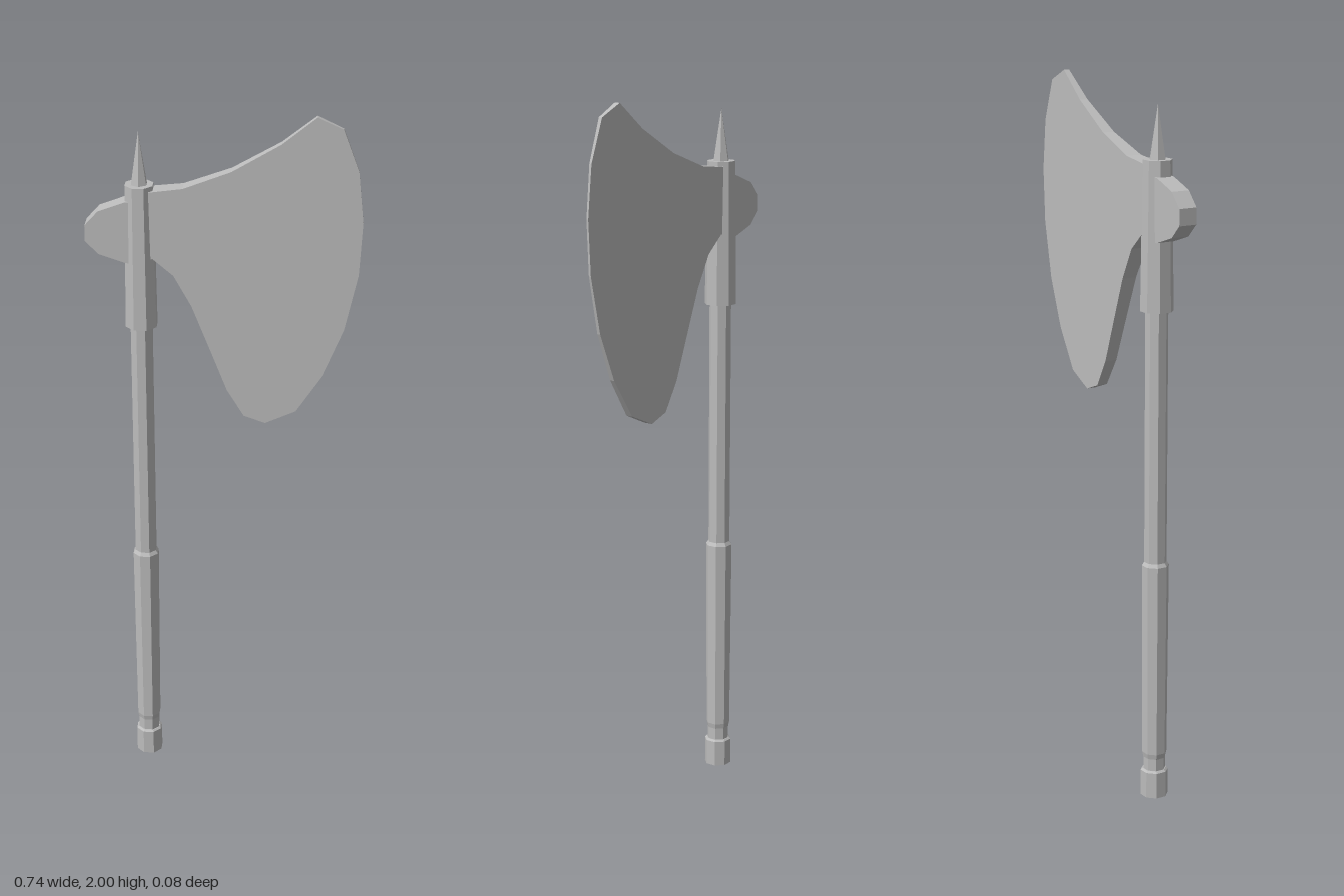
import * as THREE from 'three';

const AXIS_X = -0.225;
const steel = new THREE.MeshStandardMaterial({ color: 0xbcbcbc, flatShading: true });
steel.name = 'plain grey';

// Faceted round part on the shaft axis; profile is [distance to flat side, height]
function turned(name, profile, sides, phase) {
  const k = 1 / Math.cos(Math.PI / sides);
  const pts = profile.map(([r, y]) => new THREE.Vector2(r * k, y));
  const mesh = new THREE.Mesh(new THREE.LatheGeometry(pts, sides, phase), steel);
  mesh.name = name;
  mesh.position.x = AXIS_X;
  return mesh;
}

// Flat outline given thickness; halfDepth(x) sets the half thickness along x
function plate(name, outline, halfDepth) {
  const shape = new THREE.Shape(outline.map(([x, y]) => new THREE.Vector2(x, y)));
  const geo = new THREE.ExtrudeGeometry(shape, { depth: 1, bevelEnabled: false });
  const pos = geo.attributes.position;
  for (let i = 0; i < pos.count; i++) {
    pos.setZ(i, (pos.getZ(i) > 0.5 ? 1 : -1) * halfDepth(pos.getX(i)));
  }
  geo.computeVertexNormals();
  const mesh = new THREE.Mesh(geo, steel);
  mesh.name = name;
  return mesh;
}

export function createModel() {
  const axe = new THREE.Group();
  axe.name = 'battleAxe';
  const eighth = Math.PI / 8;

  // Handle, from the butt upwards
  axe.add(turned('pommel', [[0, 0], [0.036, 0], [0.036, 0.075], [0.031, 0.08], [0, 0.08]], 8, eighth));
  axe.add(turned('shaft', [[0.029, 0.07], [0.029, 1.42]], 8, eighth));
  axe.add(turned('grip', [[0.029, 0.115], [0.032, 0.13], [0.035, 0.685], [0.029, 0.695]], 8, eighth));

  // Head socket and top spike
  axe.add(turned('socket', [[0.028, 1.4], [0.042, 1.4], [0.037, 1.805], [0, 1.805]], 8, eighth));
  axe.add(turned('spike', [[0.021, 1.8], [0, 1.95]], 6, 0));

  // Bearded blade, tapering to the cutting edge
  axe.add(plate('blade', [
    [-0.21, 1.6], [-0.19, 1.603], [-0.135, 1.555], [-0.087, 1.466], [-0.034, 1.328],
    [0.008, 1.217], [0.055, 1.138], [0.114, 1.116], [0.198, 1.153], [0.272, 1.265],
    [0.327, 1.4], [0.362, 1.56], [0.37, 1.71], [0.355, 1.852], [0.312, 1.968],
    [0.242, 2.0], [0.15, 1.926], [0.02, 1.85], [-0.108, 1.802], [-0.19, 1.792], [-0.21, 1.792],
  ], (x) => THREE.MathUtils.mapLinear(x, -0.19, 0.37, 0.026, 0.003)));

  // Blunt hammer poll behind the socket
  axe.add(plate('poll', [
    [-0.235, 1.765], [-0.262, 1.762], [-0.334, 1.735], [-0.37, 1.695],
    [-0.37, 1.65], [-0.334, 1.614], [-0.262, 1.59], [-0.235, 1.587],
  ], () => 0.0265));

  return axe;
}
